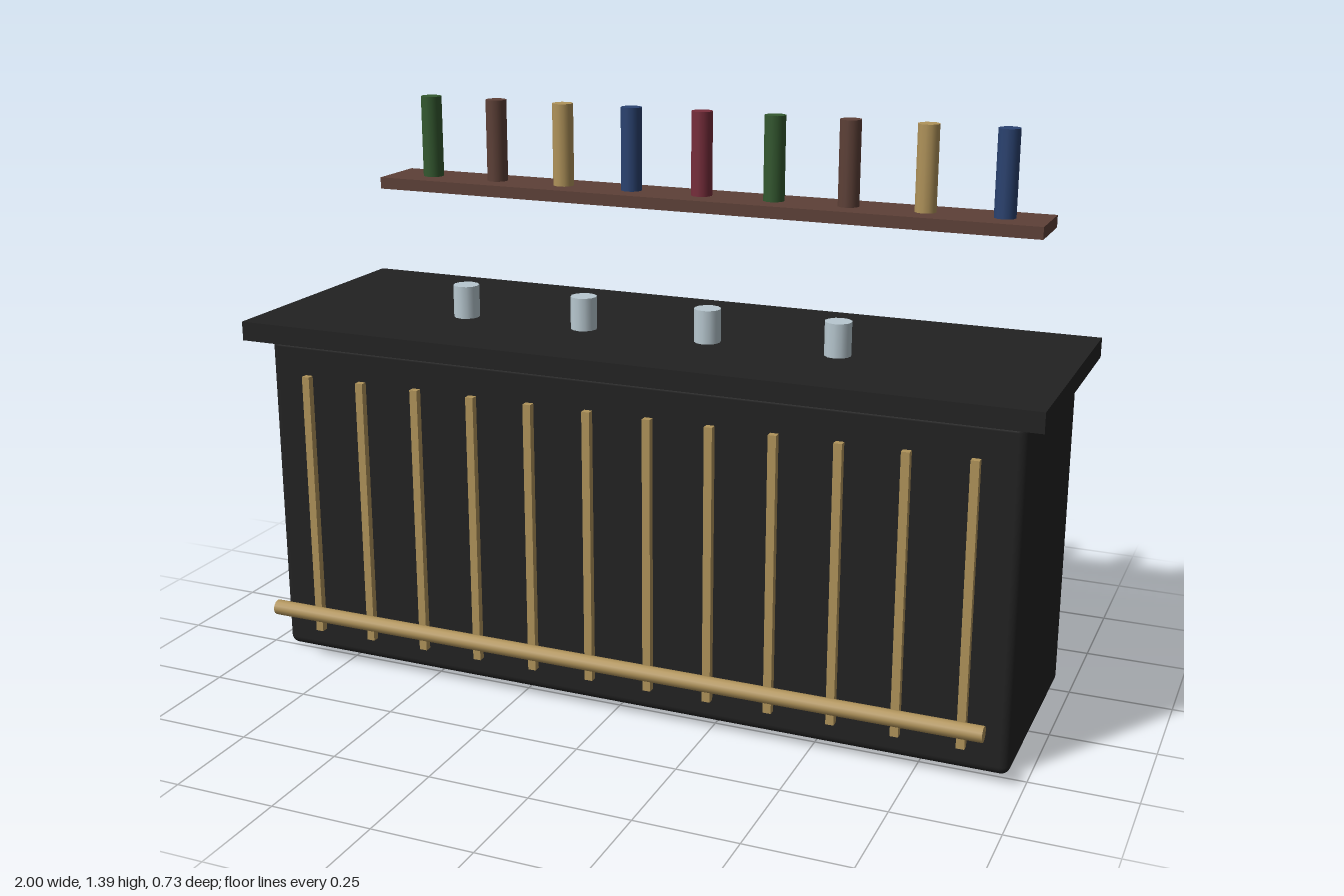
import * as THREE from 'three';
import { RoundedBoxGeometry } from 'three/addons/geometries/RoundedBoxGeometry.js';

const mat = (name, color) => {
  const m = new THREE.MeshStandardMaterial({ color });
  m.name = name;
  return m;
};

export function createModel() {
  const black = mat('black', 0x222222);
  const brass = mat('brass', 0xb0935a);
  const wood = mat('brown', 0x5d4037);
  const green = mat('green', 0x33582f);
  const blue = mat('blue', 0x2a4270);
  const red = mat('red', 0x772d3b);
  const glass = mat('pale glass', 0xb8c8d0);

  const model = new THREE.Group();
  model.name = 'barCounter';
  const add = (name, geometry, material, x, y, z) => {
    const mesh = new THREE.Mesh(geometry, material);
    mesh.name = name;
    mesh.position.set(x, y, z);
    model.add(mesh);
    return mesh;
  };

  // Counter body and overhanging top
  add('counterBody', new RoundedBoxGeometry(1.914, 0.835, 0.56, 3, 0.022), black, 0, 0.4175, -0.03);
  add('counterTop', new THREE.BoxGeometry(2, 0.048, 0.67), black, 0, 0.859, -0.03);

  // Vertical brass strips on the front
  const strip = new THREE.BoxGeometry(0.02, 0.686, 0.027);
  for (let i = 0; i < 12; i++) {
    add('frontStrip', strip, brass, -0.848 + i * 0.1542, 0.403, 0.2545);
  }

  // Foot rail
  add('footRail', new THREE.CylinderGeometry(0.019, 0.019, 1.834, 12), brass, 0, 0.147, 0.347)
    .rotation.z = Math.PI / 2;

  // Tumblers above the counter
  const tumbler = new THREE.CylinderGeometry(0.032, 0.032, 0.08, 12);
  for (let i = 0; i < 4; i++) {
    add('tumbler', tumbler, glass, -0.48 + i * 0.32, 0.939, 0.092);
  }

  // Back shelf with its row of bottles
  add('shelf', new THREE.BoxGeometry(1.76, 0.03, 0.162), wood, 0, 1.162, -0.261);
  const bottle = new THREE.CylinderGeometry(0.027, 0.027, 0.212, 12);
  const colours = [green, wood, brass, blue, red, green, wood, brass, blue];
  colours.forEach((c, i) => add('bottle', bottle, c, -0.764 + i * 0.192, 1.282, -0.261));

  return model;
}
